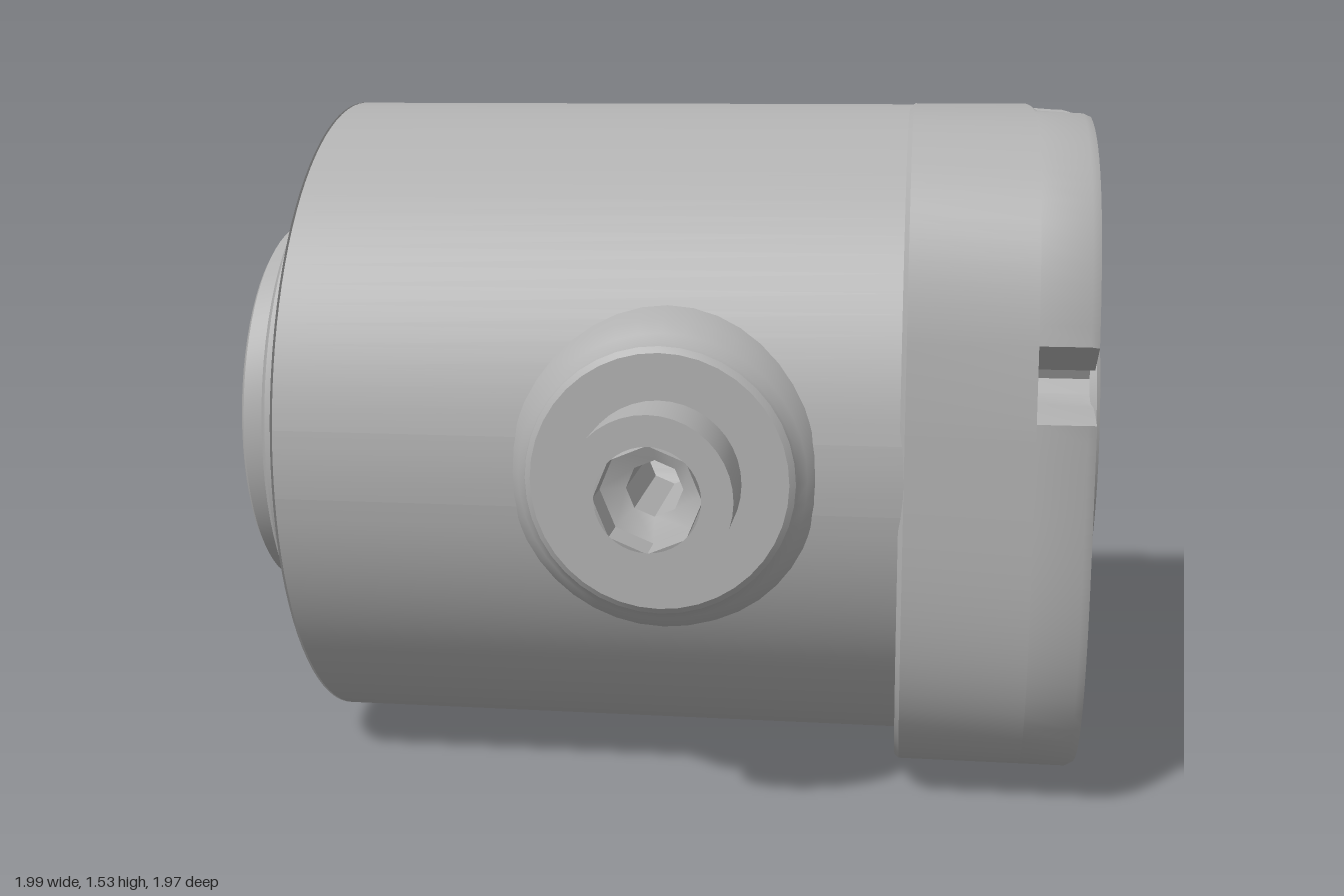
import * as THREE from 'three';
import { toCreasedNormals } from 'three/addons/utils/BufferGeometryUtils.js';

const R = 0.765, INNER = 0.6, PORT_X = 0.05;

export function createModel() {
  const model = new THREE.Group();
  model.name = 'motorHousing';
  const body = new THREE.Group();
  body.name = 'housing';
  body.position.y = 0.768; // main axis runs along x
  model.add(body);
  const metal = new THREE.MeshStandardMaterial({ color: 0xb0b0b0, side: THREE.DoubleSide });
  metal.name = 'castMetal';

  const add = (name, geo, parent = body) => {
    const mesh = new THREE.Mesh(toCreasedNormals(geo, 0.6), metal);
    mesh.name = name;
    parent.add(mesh);
    return mesh;
  };
  // Lathe about the x axis; profile points are [x, radius]
  const turned = (name, pts, seg = 72, start = 0, len = Math.PI * 2) =>
    add(name, new THREE.LatheGeometry(pts.map(([x, r]) => new THREE.Vector2(r, x)), seg, start, len)
      .rotateZ(-Math.PI / 2));
  const circle = (z, y, r, n) => Array.from({ length: n }, (_, i) => {
    const t = (i / n) * Math.PI * 2;
    return [z + r * Math.cos(t), y + r * Math.sin(t)];
  });
  // Flat plate across the axis, from [z, y] outlines
  const plate = (name, x, outline, holes) => {
    const vec = pts => pts.map(([z, y]) => new THREE.Vector2(-z, y));
    const shape = new THREE.Shape(vec(outline));
    holes.forEach(h => shape.holes.push(new THREE.Path(vec(h))));
    add(name, new THREE.ShapeGeometry(shape).rotateY(Math.PI / 2).translate(x, 0, 0));
  };
  // Wall joining equal-length outlines; sections are [x, outline]
  const loft = (name, sections) => {
    const pos = [], idx = [], n = sections[0][1].length;
    sections.forEach(([x, pts]) => pts.forEach(([z, y]) => pos.push(x, y, z)));
    for (let s = 0; s < sections.length - 1; s++) {
      for (let i = 0; i < n; i++) {
        const a = s * n + i, b = s * n + (i + 1) % n;
        idx.push(a, a + n, b, b, a + n, b + n);
      }
    }
    const geo = new THREE.BufferGeometry();
    geo.setAttribute('position', new THREE.Float32BufferAttribute(pos, 3));
    geo.setIndex(idx);
    add(name, geo);
  };
  const sleeve = (name, outline, x0, x1) => loft(name, [[x0, outline], [x1, outline]]);

  // Barrel walls, with a gap on each side for the port bore
  const gap = 0.1;
  for (const [name, r, x0, x1] of [['barrel', R, -0.81, 0.56], ['barrelLining', INNER, -0.72, 0.83]]) {
    for (const side of [0, Math.PI]) {
      turned(name, [[x0, r], [x1, r]], 48, side + gap, Math.PI - 2 * gap);
      turned(name, [[x0, r], [PORT_X - 0.08, r]], 4, side - gap, 2 * gap);
      turned(name, [[PORT_X + 0.08, r], [x1, r]], 4, side - gap, 2 * gap);
    }
  }

  // Rear face with its ring of bolt holes
  const boltHoles = Array.from({ length: 6 }, (_, i) => {
    const t = (i * Math.PI) / 3;
    return circle(0.685 * Math.cos(t), 0.685 * Math.sin(t), 0.045, 10);
  });
  boltHoles.push(circle(0.18, 0.66, 0.022, 8));
  plate('rearFace', -0.815, circle(0, 0, R, 96), [circle(0, 0, 0.6, 72), ...boltHoles]);
  boltHoles.forEach(h => sleeve('rearBoltHole', h, -0.815, -0.72));
  plate('rearHoleFloor', -0.72, circle(0, 0, 0.75, 72), [circle(0, 0, 0.58, 72)]);

  // Stepped rear hub
  turned('rearHub', [[-0.72, 0.6], [-0.72, 0.36], [-0.9, 0.36], [-0.9, 0.385], [-0.99, 0.4], [-1, 0.41],
    [-1, 0.44], [-0.99, 0.455], [-0.935, 0.46], [-0.925, 0.5], [-0.912, 0.55], [-0.895, 0.578],
    [-0.85, 0.585], [-0.83, 0.6], [-0.815, 0.635]]);
  add('rearKey', new THREE.BoxGeometry(0.1, 0.16, 0.1).translate(-0.862, -0.65, 0.03));

  // Flange outline: rounded square, optional side slot and top scoop
  const outline = ({ slot = false, scoop = 0, scale = 1 } = {}) => {
    const pts = [], n = 120, from = 0.37, to = Math.PI * 2 + 0.17, e = 3.4;
    for (let i = 0; i <= n; i++) {
      const t = from + ((to - from) * i) / n, c = Math.cos(t), s = Math.sin(t);
      const r = (R * scale) / Math.pow(Math.abs(c) ** e + Math.abs(s) ** e, 1 / e);
      const z = r * c;
      let y = r * s;
      const k = THREE.MathUtils.smoothstep(Math.abs(z + 0.02), 0.2, 0.36);
      const limit = 0.64 + 0.125 * k;
      if (y > limit) y += (limit - y) * scoop;
      pts.push([z, y]);
    }
    if (slot) {
      pts.push([0.66, 0.15], [0.58, 0.145], [0.545, 0.16], [0.53, 0.19],
        [0.545, 0.22], [0.58, 0.235], [0.66, 0.23]);
    }
    return pts;
  };
  const bore = circle(0, 0.005, 0.31, 9);
  const plain = outline();
  const slotted = outline({ slot: true });
  const front = outline({ slot: true, scoop: 1, scale: 0.988 });

  plate('flangeBack', 0.55, outline({ scale: 0.99 }), [circle(0, 0, 0.74, 72)]);
  loft('flangeBase', [[0.55, outline({ scale: 0.99 })], [0.56, plain], [0.83, plain]]);
  plate('flangeMiddle', 0.83, plain, [bore]);
  loft('flangeRim', [[0.83, slotted], [0.935, outline({ slot: true, scoop: 0.88 })], [0.953, front]]);

  // Front face with corner screws and small pin holes
  const corners = [[1, 1], [-1, 1], [-1, -1], [1, -1]].map(([a, b]) => [a * 0.56, b * 0.56]);
  const screwHoles = corners.map(([z, y]) => circle(z, y, 0.072, 8));
  const pinHoles = [0, 1, 2, 3].map(i => {
    const t = 0.605 + (i * Math.PI) / 2;
    return circle(0.475 * Math.cos(t), 0.475 * Math.sin(t), 0.03, 7);
  });
  plate('frontFace', 0.953, front, [bore, ...screwHoles, ...pinHoles]);
  screwHoles.forEach(h => sleeve('screwHole', h, 0.83, 0.953));
  pinHoles.forEach(h => sleeve('pinHole', h, 0.83, 0.953));
  corners.forEach(([z, y]) =>
    add('screwHead', new THREE.CylinderGeometry(0.04, 0.05, 0.1, 6).rotateZ(-Math.PI / 2).translate(0.88, y, z)));
  sleeve('frontBore', bore, 0.83, 0.953);
  turned('frontLip', [[0.95, 0.397], [0.985, 0.395], [0.993, 0.388], [0.99, 0.376], [0.955, 0.365]]);

  // Side ports: flared boss, stub and stepped bore
  const portProfile = [[0.36, 0.66], [0.335, 0.755], [0.31, 0.78], [0.292, 0.8], [0.288, 0.815], [0.275, 0.825],
    [0.175, 0.825], [0.175, 0.987]].map(p => new THREE.Vector2(...p));
  const boreProfile = [[0.112, 0.987], [0.112, 0.9], [0.06, 0.88], [0.06, 0.57]].map(p => new THREE.Vector2(...p));
  for (const side of [1, -1]) {
    const port = new THREE.Group();
    port.name = side > 0 ? 'frontPort' : 'backPort';
    port.position.x = PORT_X;
    port.rotation.x = (side * Math.PI) / 2;
    body.add(port);
    add('portBoss', new THREE.LatheGeometry(portProfile, 40), port);
    add('portBore', new THREE.LatheGeometry(boreProfile, 8), port);
    add('portEnd', new THREE.RingGeometry(0.11, 0.175, 40).rotateX(-Math.PI / 2).translate(0, 0.987, 0), port);
  }
  return model;
}
